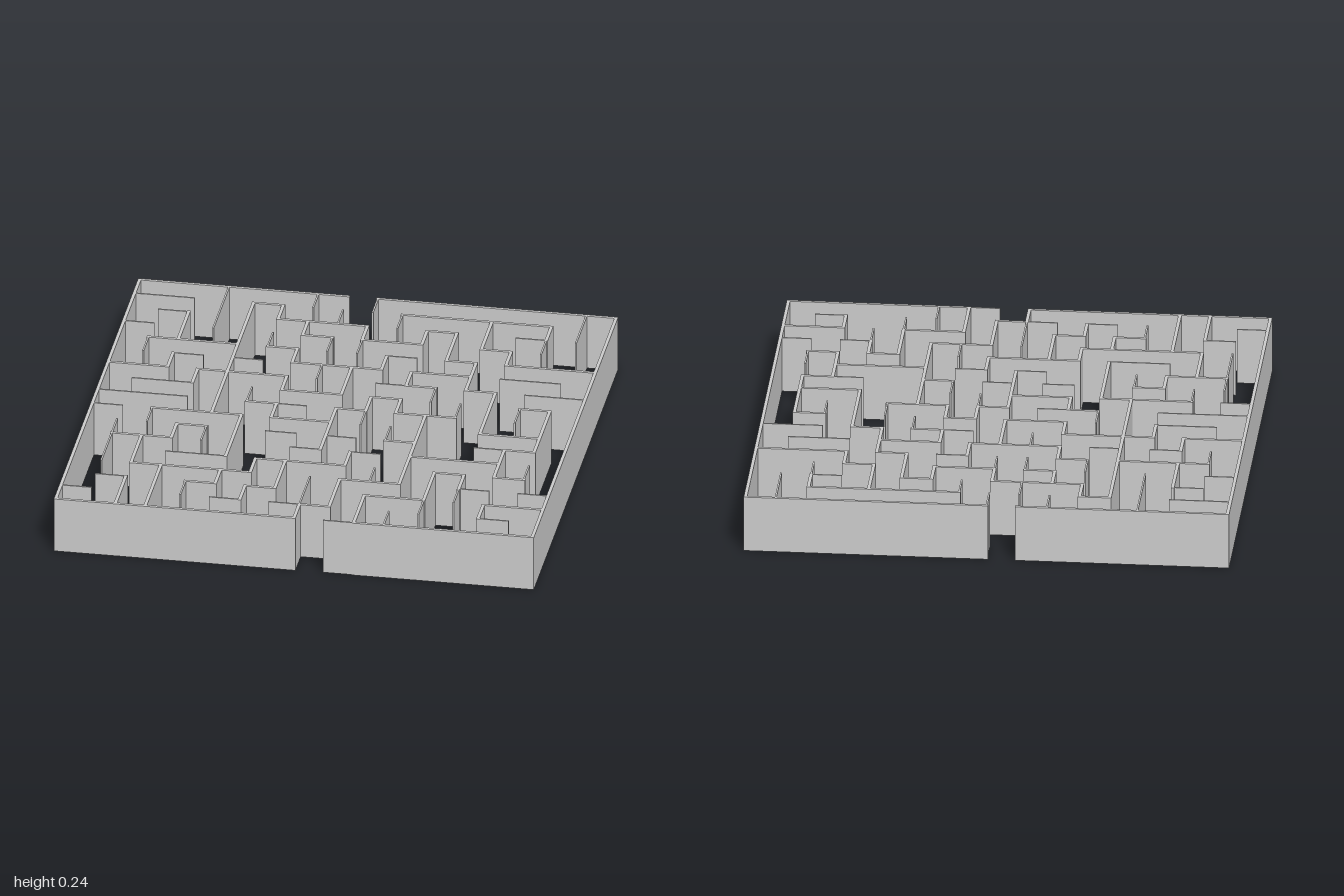
import * as THREE from 'three';

const N = 16, HEIGHT = 0.24, THICK = 0.014, THIN = 0.007;
const CELL = (2 - THICK) / N;

// Walls along x: one entry per grid line from back to front, "from-to" in cells
const ROWS = [
  '0-7 8-16', '0-2 4-5 9-14', '1-2 5-8 10-11 13-14', '0-1 6-7 8-10 12-13',
  '1-4 5-6 9-10 11-12 13-16', '2-3 4-5 6-9 10-12 13-15', '0-2 3-6 9-11 12-13 14-16',
  '1-3 6-8 9-10 14-15', '0-3 5-7 8-9 10-12', '0-1 2-5 6-8 13-15',
  '3-4 6-7 8-9 10-11 13-15', '1-3 7-8 9-10 11-14', '3-5 6-9 12-13 14-15',
  '2-6 9-11 13-14 15-16', '1-2 4-5 6-7 10-12 14-16', '0-1 5-6 7-9 14-15', '0-8 9-16',
];
// Walls along z: one entry per grid line from -x to +x
const COLUMNS = [
  '0-16', '4-5 10-13', '2-4 5-6 9-10 11-13 14-16', '0-3 6-7 10-11 13-16',
  '1-9 10-11 14-15', '1-2 3-4 7-8 9-12 13-14', '0-1 2-3 4-5 6-7 8-9 12-13 14-15',
  '1-2 3-4 5-6 12-14', '0-1 2-4 5-7 8-11 13-16', '1-2 4-5 7-9 11-12 13-15',
  '2-3 5-6 7-8 9-10 12-13 14-16', '2-4 6-7 8-13 15-16', '1-3 4-6 7-8 12-15',
  '3-4 6-9 12-14', '1-3 7-8 10-12 14-15', '0-2 7-10 11-12', '0-16',
];

const parse = (lines) => lines.flatMap((text, line) =>
  text.split(' ').map((run) => {
    const [from, to] = run.split('-').map(Number);
    return { line, from, to };
  }));

// Grid points touched by a set of runs
function touched(runs, alongX) {
  const points = new Set();
  for (const { line, from, to } of runs)
    for (let k = from; k <= to; k++) points.add(alongX ? `${k},${line}` : `${line},${k}`);
  return points;
}

export function createModel() {
  const maze = new THREE.Group();
  maze.name = 'maze';
  const material = new THREE.MeshStandardMaterial({ color: 0xcccccc, flatShading: true });
  const xRuns = parse(ROWS), zRuns = parse(COLUMNS);
  const xPoints = touched(xRuns, true), zPoints = touched(zRuns, false);

  function addWalls(runs, alongX) {
    const crossing = alongX ? zPoints : xPoints;
    const joined = (line, k) => crossing.has(alongX ? `${k},${line}` : `${line},${k}`);
    for (const { line, from, to } of runs) {
      // Split the run at its junctions; stretches with a free end are thinner
      let start = from;
      for (let k = from + 1; k <= to; k++) {
        if (k < to && !joined(line, k)) continue;
        const free = (start === from && !joined(line, from)) || (k === to && !joined(line, to));
        const outerBack = alongX && line === 0;
        const t = free && !outerBack ? THIN : THICK;
        const length = (k - start) * CELL + t;
        const along = ((start + k) / 2 - N / 2) * CELL;
        const across = (line - N / 2) * CELL;
        const wall = new THREE.Mesh(
          new THREE.BoxGeometry(alongX ? length : t, HEIGHT, alongX ? t : length), material);
        wall.position.set(alongX ? along : across, HEIGHT / 2, alongX ? across : along);
        wall.name = line === 0 || line === N ? 'outerWall' : 'innerWall';
        maze.add(wall);
        start = k;
      }
    }
  }
  addWalls(xRuns, true);
  addWalls(zRuns, false);
  return maze;
}
